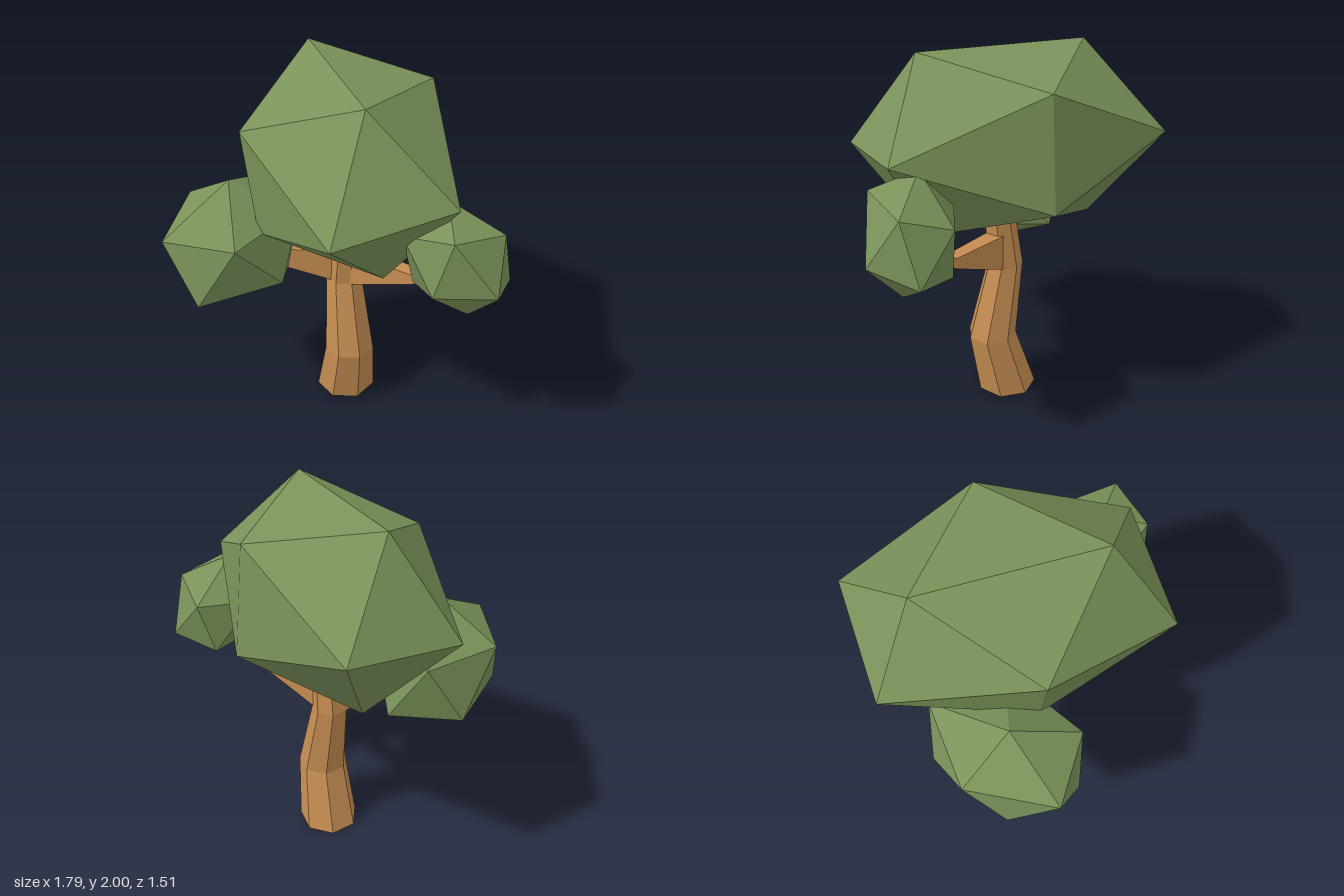
import * as THREE from 'three';
import { ConvexGeometry } from 'three/addons/geometries/ConvexGeometry.js';

const bark = new THREE.MeshStandardMaterial({ color: 0xc68e52, flatShading: true });
const leaf = new THREE.MeshStandardMaterial({ color: 0x7b935a, flatShading: true });
const V = (x, y, z) => new THREE.Vector3(x, y, z);

// Ring of n corners around c, spanned by the half axes u and v
function ring(c, u, v, n, turn = 0) {
  return Array.from({ length: n }, (_, i) => {
    const a = turn + (i / n) * Math.PI * 2;
    return c.clone().addScaledVector(u, Math.sin(a)).addScaledVector(v, Math.cos(a));
  });
}

// Closed faceted skin over a series of rings
function loft(rings) {
  const n = rings[0].length, last = rings.length - 1, tri = [];
  for (let r = 0; r < last; r++) {
    for (let i = 0; i < n; i++) {
      const j = (i + 1) % n, a = rings[r], b = rings[r + 1];
      tri.push(a[i], a[j], b[j], a[i], b[j], b[i]);
    }
  }
  for (let i = 1; i < n - 1; i++) {
    tri.push(rings[0][0], rings[0][i + 1], rings[0][i]);
    tri.push(rings[last][0], rings[last][i], rings[last][i + 1]);
  }
  const g = new THREE.BufferGeometry().setFromPoints(tri);
  g.computeVertexNormals();
  return g;
}

// Four-sided branch; each station is [x, y, z, half height, half width]
function branch(stations) {
  const pts = stations.map(([x, y, z]) => V(x, y, z));
  return loft(stations.map(([, , , h, w], i) => {
    const d = pts[Math.min(i + 1, pts.length - 1)].clone().sub(pts[Math.max(i - 1, 0)]);
    const side = d.cross(V(0, 1, 0)).normalize();
    return ring(pts[i], side.multiplyScalar(w * Math.SQRT2), V(0, h * Math.SQRT2, 0), 4, Math.PI / 4);
  }));
}

// Skewed twenty-sided crown: six corners, each repeated through the centre
function crown(centre, corners) {
  const c = V(...centre);
  return new ConvexGeometry(corners.flatMap((p) => {
    const v = V(...p);
    return [v, c.clone().multiplyScalar(2).sub(v)];
  }));
}

export function createModel() {
  const tree = new THREE.Group();
  tree.name = 'tree';
  const add = (name, geometry, material) => {
    const m = new THREE.Mesh(geometry, material);
    m.name = name;
    tree.add(m);
  };

  // Seven-sided bent trunk: x, y, z, radius
  const trunk = [
    [-0.06, 0, 0.005, 0.17],
    [0, 0.36, 0.07, 0.138],
    [-0.06, 0.8, 0.015, 0.1],
    [-0.03, 1.1, 0.035, 0.087],
    [-0.02, 1.25, 0.04, 0.075],
  ];
  add('trunk', loft(trunk.map(([x, y, z, r]) => ring(V(x, y, z), V(r, 0, 0), V(0, 0, r), 7))), bark);

  // Branches reaching into the side crowns
  add('leftBranch', branch([
    [-0.02, 0.9, 0.03, 0.102, 0.05],
    [0.03, 0.902, 0.035, 0.1, 0.05],
    [0.4, 0.998, 0.11, 0.03, 0.035],
    [0.6, 1.14, 0.19, 0.025, 0.025],
  ]), bark);
  add('rightBranch', branch([
    [-0.06, 0.9, 0.02, 0.102, 0.065],
    [-0.12, 0.9, 0.04, 0.1, 0.06],
    [-0.28, 0.932, 0.13, 0.068, 0.05],
    [-0.5, 0.99, 0.25, 0.04, 0.04],
  ]), bark);

  // Foliage
  add('mainCrown', crown([-0.057, 1.533, 0], [
    [-0.41, 2, -0.28], [0.23, 2, 0.36], [0.67, 1.565, 0.285],
    [-0.37, 1.565, -0.755], [-0.41, 1.77, 0.4], [0.26, 1.88, -0.36],
  ]), leaf);
  add('rightCrown', crown([-0.578, 1.055, 0.28], [
    [-0.575, 1.415, 0.3], [-0.74, 1.21, 0.675], [-0.36, 1.21, 0.595],
    [-0.897, 1.22, 0.22], [-0.545, 0.88, 0.7], [-0.88, 0.89, 0.46],
  ]), leaf);
  add('leftCrown', crown([0.647, 1.244, 0.195], [
    [0.69, 1.455, 0.39], [0.85, 1.405, 0.135], [0.892, 1.154, 0.3],
    [0.62, 1.165, 0.442], [0.87, 1.085, 0.03], [0.725, 0.942, 0.21],
  ]), leaf);

  return tree;
}
